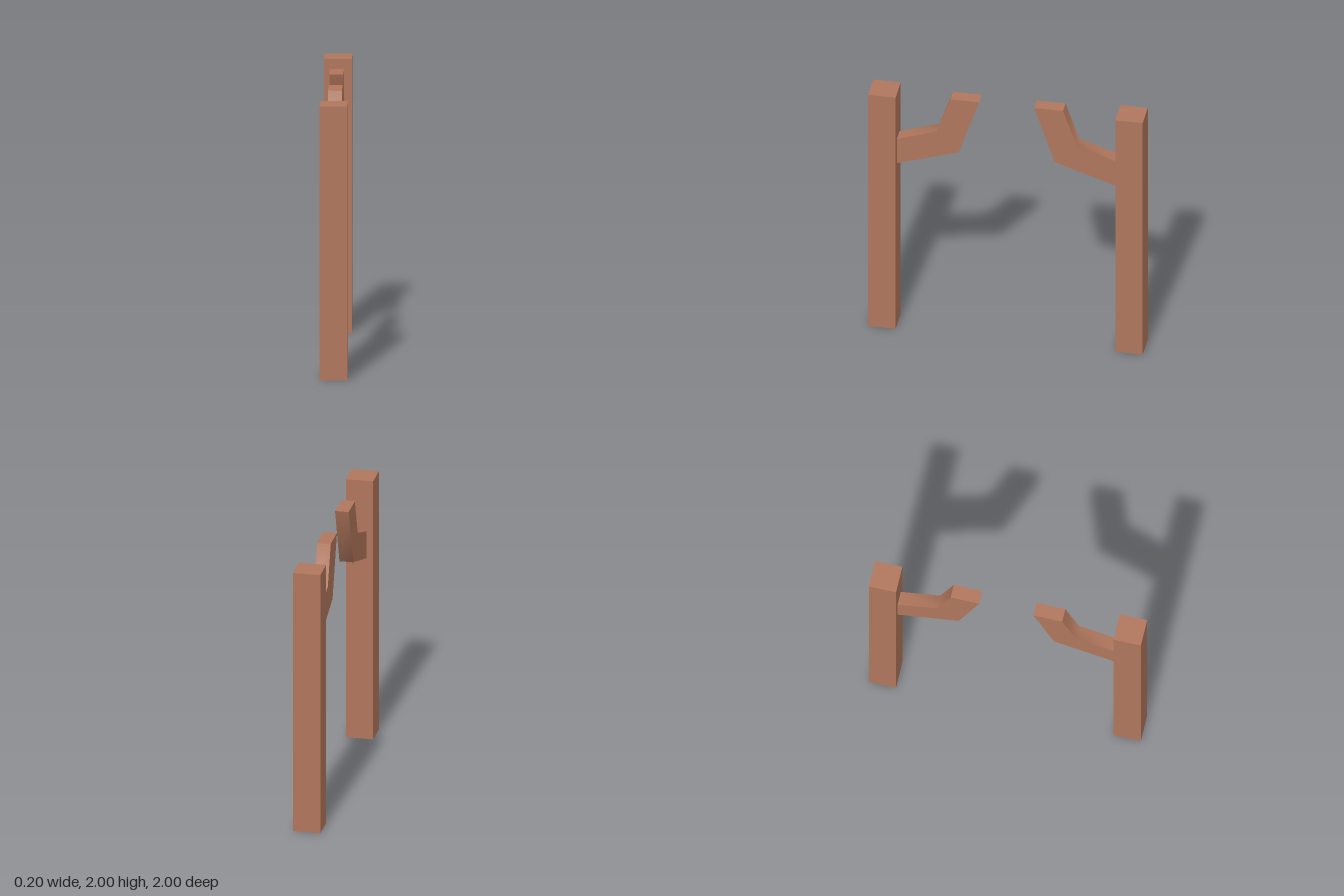
import * as THREE from 'three';
import { toCreasedNormals } from 'three/addons/utils/BufferGeometryUtils.js';

export function createModel() {
  const model = new THREE.Group();
  model.name = 'branchedPosts';
  const wood = new THREE.MeshStandardMaterial({ color: 0xb0765c });
  wood.name = 'brown wood';

  const postGeometry = new THREE.BoxGeometry(0.2, 2, 0.2);

  // Bent arm: side profile as (distance from centre, height), extruded across x
  const profile = [[0.8, 1.4], [0.8, 1.61], [0.51, 1.71], [0.41, 2], [0.2, 2], [0.35, 1.55]];
  const shape = new THREE.Shape(profile.map(([z, y]) => new THREE.Vector2(z, y)));
  const extruded = new THREE.ExtrudeGeometry(shape, { depth: 0.1, bevelEnabled: false });
  extruded.translate(0, 0, -0.05).rotateY(-Math.PI / 2);
  // Smooth across the bend, sharp along the other edges
  const armGeometry = toCreasedNormals(extruded, Math.PI / 3);

  // Two facing posts, the back one turned half a circle
  for (const [side, angle] of [['front', 0], ['back', Math.PI]]) {
    const half = new THREE.Group();
    half.name = `${side}Half`;
    half.rotation.y = angle;

    const post = new THREE.Mesh(postGeometry, wood);
    post.name = `${side}Post`;
    post.position.set(0, 1, 0.9);

    const arm = new THREE.Mesh(armGeometry, wood);
    arm.name = `${side}Arm`;

    half.add(post, arm);
    model.add(half);
  }
  return model;
}
